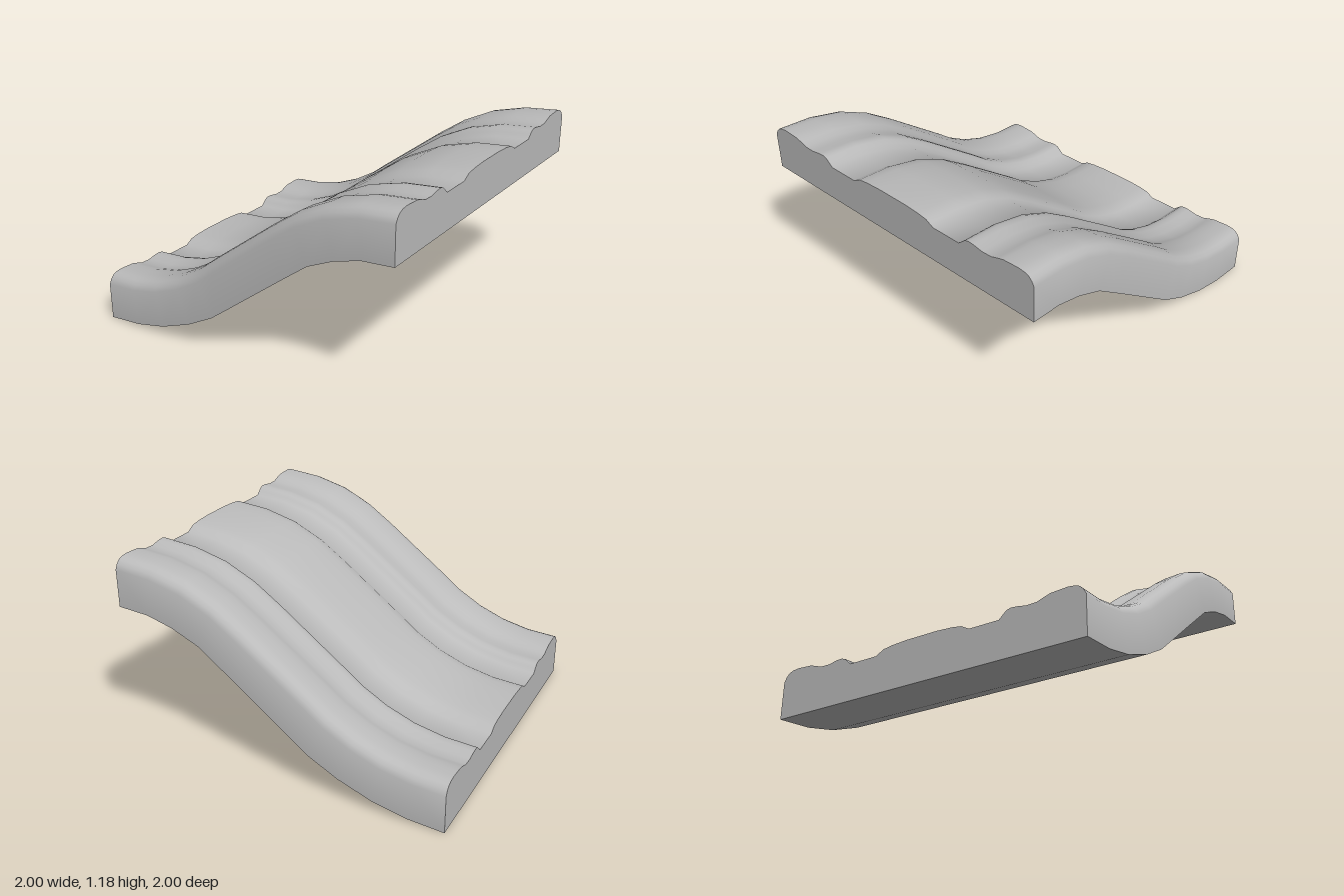
import * as THREE from 'three';
import { toCreasedNormals } from 'three/addons/utils/BufferGeometryUtils.js';

// Side curve stations: bottom x, bottom y, top x, top y
const STATIONS = [
  [-1, 0, -1, 0.292], [-0.78, 0.02, -0.81, 0.306], [-0.58, 0.066, -0.63, 0.346],
  [-0.37, 0.147, -0.465, 0.412], [-0.19, 0.245, -0.31, 0.502], [-0.07, 0.336, -0.2, 0.588],
  [0.2, 0.543, 0.07, 0.79], [0.33, 0.642, 0.21, 0.895], [0.48, 0.755, 0.38, 1.012],
  [0.65, 0.832, 0.57, 1.105], [0.81, 0.877, 0.78, 1.16], [1, 0.893, 1, 1.182],
];

// Half of the moulded cross-section: z, height at the upper end
const HALF = [
  [0, 1.157], [0.1, 1.157], [0.2, 1.151], [0.26, 1.142], [0.285, 1.128], [0.31, 1.114],
  [0.495, 1.114], [0.52, 1.137], [0.54, 1.155], [0.565, 1.162], [0.6, 1.16], [0.66, 1.149],
  [0.72, 1.151], [0.76, 1.165], [0.8, 1.177], [0.85, 1.18], [0.9, 1.183], [0.94, 1.178],
  [0.965, 1.168], [0.985, 1.148], [1, 1.118],
];

function mouldingGeometry() {
  const profile = [...HALF.slice(1).reverse().map(([z, y]) => [-z, y]), ...HALF];
  const n = profile.length - 1;
  const m = STATIONS.length - 1;
  const bottom = (i, j) => [STATIONS[i][0], STATIONS[i][1], profile[j][0]];
  const top = (i, j) => {
    const [bx, by, tx, ty] = STATIONS[i];
    const h = (profile[j][1] - 0.893) / 0.29;
    return [bx + (tx - bx) * h, by + (ty - by) * h, profile[j][0]];
  };
  const positions = [];
  const quad = (a, b, c, d) => positions.push(...a, ...b, ...c, ...a, ...c, ...d);

  for (let i = 0; i < m; i++) {
    const k = i + 1;
    // Ribbed upper face and plain underside
    for (let j = 0; j < n; j++) {
      quad(top(i, j), top(i, j + 1), top(k, j + 1), top(k, j));
    }
    quad(bottom(i, 0), bottom(k, 0), bottom(k, n), bottom(i, n));
    // Front and back edges
    quad(bottom(i, n), bottom(k, n), top(k, n), top(i, n));
    quad(bottom(i, 0), top(i, 0), top(k, 0), bottom(k, 0));
  }
  // Flat ends
  for (let j = 0; j < n; j++) {
    quad(bottom(m, j), top(m, j), top(m, j + 1), bottom(m, j + 1));
    quad(bottom(0, j), bottom(0, j + 1), top(0, j + 1), top(0, j));
  }
  const geometry = new THREE.BufferGeometry();
  geometry.setAttribute('position', new THREE.Float32BufferAttribute(positions, 3));
  return toCreasedNormals(geometry, 0.85);
}

export function createModel() {
  const stone = new THREE.MeshStandardMaterial({ color: 0xbbbbbb });
  stone.name = 'light grey';
  const moulding = new THREE.Mesh(mouldingGeometry(), stone);
  moulding.name = 'curvedMoulding';
  const model = new THREE.Group();
  model.name = 'sCurveMoulding';
  model.add(moulding);
  return model;
}
